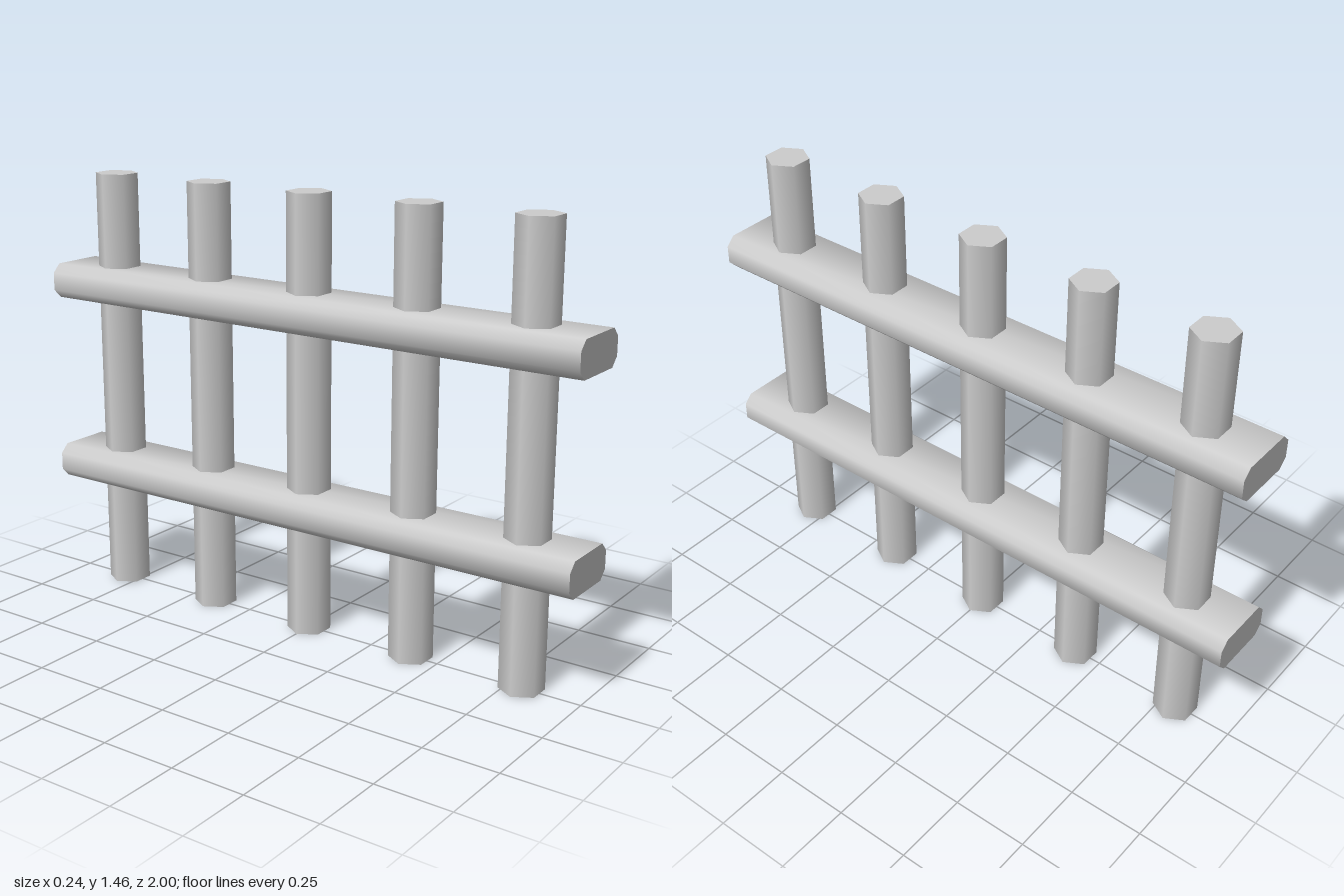
import * as THREE from 'three';
import { toCreasedNormals } from 'three/addons/utils/BufferGeometryUtils.js';

const HEIGHT = 1.46;
const LENGTH = 2;

// Flat rail with chamfered edges, running along z
function railGeometry() {
  const w = 0.119, h = 0.059, c = 0.029;
  const section = new THREE.Shape([
    [w, -h + c], [w, h - c], [w - c, h], [-w + c, h],
    [-w, h - c], [-w, -h + c], [-w + c, -h], [w - c, -h],
  ].map(([x, y]) => new THREE.Vector2(x, y)));
  const geometry = new THREE.ExtrudeGeometry(section, { depth: LENGTH, bevelEnabled: false });
  geometry.translate(0, 0, -LENGTH / 2);
  return toCreasedNormals(geometry, Math.PI / 3);
}

export function createModel() {
  const model = new THREE.Group();
  model.name = 'fence';
  const grey = new THREE.MeshStandardMaterial({ color: 0xcccccc });
  grey.name = 'grey';

  // Hexagonal stakes with corners pointing along x
  const stakeGeometry = new THREE.CylinderGeometry(0.072, 0.072, HEIGHT, 6, 1, false, Math.PI / 2);
  for (let i = -2; i <= 2; i++) {
    const stake = new THREE.Mesh(stakeGeometry, grey);
    stake.name = `stake${i + 3}`;
    stake.position.set(0, HEIGHT / 2, i * 0.4);
    model.add(stake);
  }

  // Two horizontal rails
  const rail = railGeometry();
  for (const [name, y] of [['lowerRail', 0.43], ['upperRail', 1.082]]) {
    const mesh = new THREE.Mesh(rail, grey);
    mesh.name = name;
    mesh.position.y = y;
    model.add(mesh);
  }
  return model;
}
